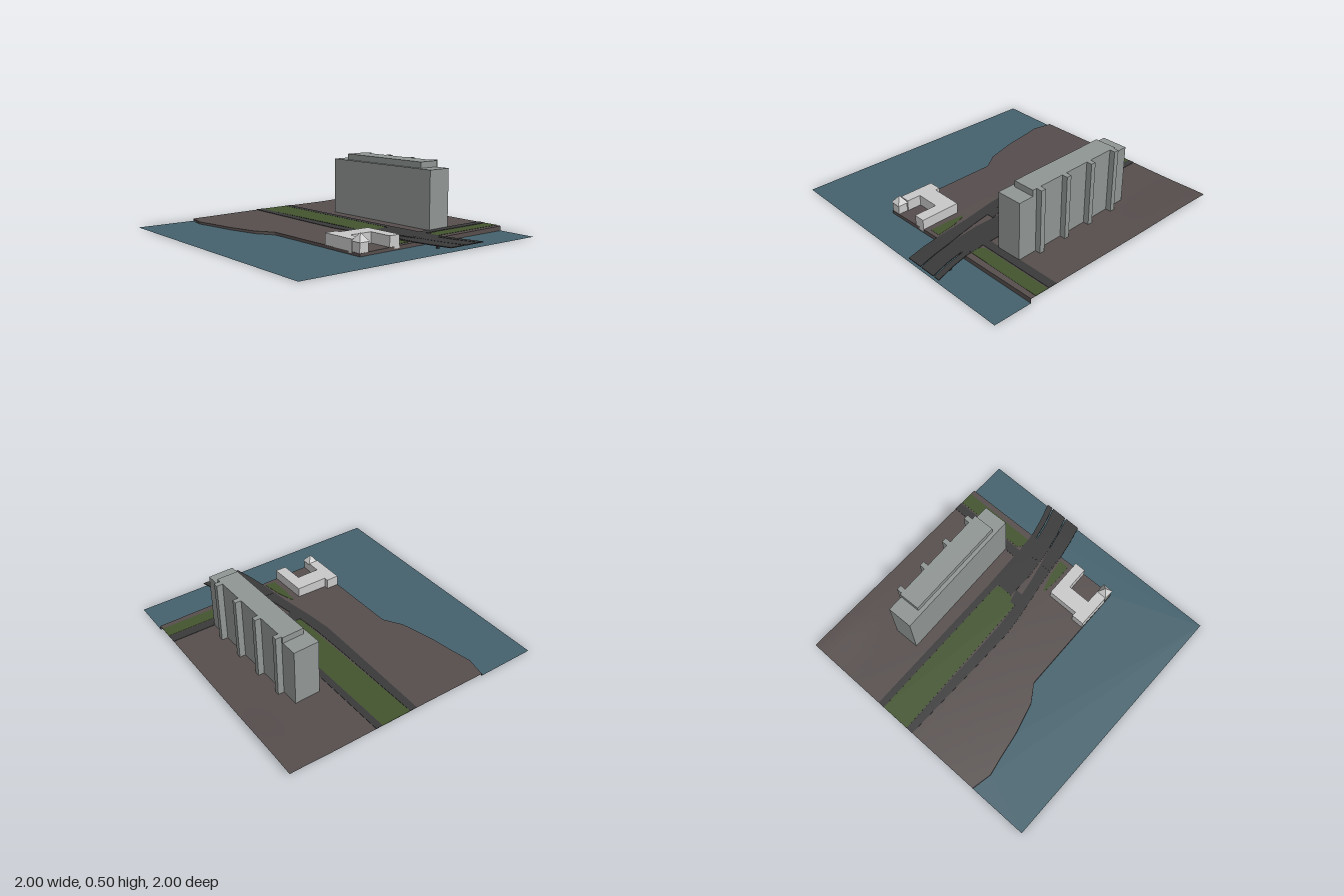
import * as THREE from 'three';

const mat = (color) => new THREE.MeshStandardMaterial({ color, side: THREE.DoubleSide });
const MATS = {
  water: mat(0x45636f), land: mat(0x574f4e), road: mat(0x3b3b3b),
  grass: mat(0x445630), block: mat(0x929896), stone: mat(0xcccccc),
};

// waterfront as [x, z], from the left edge to the front right corner
const SHORE = [[-1, 0.55], [-0.85, 0.58], [-0.7, 0.55], [-0.52, 0.52], [-0.28, 0.455], [-0.15, 0.37], [0.745, 0.35]];

function shoreZ(x) {
  for (let i = 1; i < SHORE.length; i++) {
    const [x0, z0] = SHORE[i - 1], [x1, z1] = SHORE[i];
    if (x <= x1 + 1e-6) return z0 + (z1 - z0) * (x - x0) / (x1 - x0);
  }
  return 0.35;
}
const rightEdge = (z) => 0.72 + (z + 0.4) * (z < -0.4 ? 0.017 : 0.033);

// ground height: falls towards the front, with a low rise at the back left
function ground(x, z) {
  const rise = Math.exp(-((x + 0.8) ** 2) / 0.12 - ((z + 0.95) ** 2) / 0.03);
  return 0.027 - 0.018 * Math.max(z, 0) - 0.007 * Math.min(z, 0) + 0.009 * rise;
}

function meshFrom(positions, indices, material, name) {
  let g = new THREE.BufferGeometry();
  g.setAttribute('position', new THREE.Float32BufferAttribute(positions, 3));
  g.setIndex(indices);
  g = g.toNonIndexed();
  g.computeVertexNormals();
  const m = new THREE.Mesh(g, material);
  m.name = name;
  return m;
}

const outline = (pts) => new THREE.Shape(pts.map(([x, z]) => new THREE.Vector2(x, -z)));

// upright prism over a footprint of [x, z] points
function prism(name, pts, y0, y1, material) {
  const g = new THREE.ExtrudeGeometry(outline(pts), { depth: y1 - y0, bevelEnabled: false });
  g.rotateX(-Math.PI / 2).translate(0, y0, 0);
  const m = new THREE.Mesh(g, material);
  m.name = name;
  return m;
}

// terrain grid, with an extra row and column as the bank down to the water
function buildLand() {
  const nu = 70, nv = 40, pos = [], idx = [];
  for (let i = 0; i <= nu + 1; i++) {
    for (let j = 0; j <= nv + 1; j++) {
      const u = Math.min(i, nu) / nu, v = Math.min(j, nv) / nv;
      const z = -1 + v * (shoreZ(-1 + u * 1.745) + 1);
      const x = -1 + u * (rightEdge(z) + 1);
      pos.push(x, i > nu || j > nv ? 0 : ground(x, z), z);
    }
  }
  const w = nv + 2;
  for (let i = 0; i <= nu; i++) {
    for (let j = 0; j <= nv; j++) {
      const a = i * w + j;
      idx.push(a, a + 1, a + w + 1, a, a + w + 1, a + w);
    }
  }
  return meshFrom(pos, idx, MATS.land, 'land');
}

// slab along x through stations [x, zBack, zFront]; rests on the ground or on a level deck
function slab(name, stations, material, lift, thick, deck) {
  const pos = [], idx = [], n = stations.length;
  for (const [x, z0, z1] of stations) {
    const y0 = (deck ?? ground(x, z0)) + lift, y1 = (deck ?? ground(x, z1)) + lift;
    pos.push(x, y0, z0, x, y1, z1, x, y1 - thick, z1, x, y0 - thick, z0);
  }
  for (let i = 0; i < n - 1; i++) {
    for (let j = 0; j < 4; j++) {
      const a = i * 4 + j, b = i * 4 + (j + 1) % 4;
      idx.push(a, b, b + 4, a, b + 4, a + 4);
    }
  }
  const e = (n - 1) * 4;
  idx.push(0, 2, 1, 0, 3, 2, e, e + 1, e + 2, e, e + 2, e + 3);
  return meshFrom(pos, idx, material, name);
}

export function createModel() {
  const model = new THREE.Group();
  model.name = 'waterfrontDistrict';

  // water around the land
  const water = new THREE.Mesh(
    new THREE.ShapeGeometry(outline([...SHORE, [0.72, -0.4], [0.71, -1], [1, -1], [1, 1], [-1, 1]])), MATS.water);
  water.geometry.rotateX(-Math.PI / 2);
  water.name = 'water';
  model.add(water, buildLand());

  // streets and lawns laid on the ground
  const streets = [
    ['backStreet', [[-1, -0.355, -0.305], [0.2, -0.38, -0.33], [0.5, -0.395, -0.33], [0.71, -0.395, -0.33]]],
    ['frontStreet', [[-1, -0.08, -0.025], [-0.3, -0.095, -0.02], [0, -0.105, -0.02], [0.2, -0.125, -0.045], [0.45, -0.17, -0.09], [0.72, -0.235, -0.125]]],
    ['junction', [[0.24, -0.34, -0.2], [0.45, -0.34, -0.2], [0.72, -0.34, -0.235]]],
    ['junctionLink', [[0.2, -0.17, -0.12], [0.3, -0.2, -0.14]]],
    ['sideStreet', [[0.495, -1, -0.39], [0.56, -1, -0.39]]],
  ];
  for (const [name, stations] of streets) model.add(slab(name, stations, MATS.road, 0.003, 0.003));
  const lawns = [
    ['medianLawn', [[-1, -0.305, -0.08], [0.19, -0.33, -0.125], [0.24, -0.32, -0.2]]],
    ['sideLawn', [[0.57, -1, -0.43], [0.61, -1, -0.4], [0.67, -1, -0.4]]],
    ['frontLawn', [[0.43, -0.045, -0.035], [0.55, -0.085, -0.025], [0.7, -0.11, -0.03]]],
  ];
  for (const [name, stations] of lawns) model.add(slab(name, stations, MATS.grass, 0.002, 0.003));

  // three bridge decks over the water, with piers
  const bridge = new THREE.Group();
  bridge.name = 'bridge';
  const decks = [
    [[0.58, -0.4, -0.365], [0.72, -0.41, -0.37], [0.86, -0.445, -0.4], [1, -0.49, -0.445]],
    [[0.58, -0.365, -0.25], [0.72, -0.36, -0.24], [0.86, -0.39, -0.27], [1, -0.435, -0.315]],
    [[0.58, -0.2, -0.12], [0.72, -0.235, -0.125], [0.86, -0.265, -0.15], [1, -0.305, -0.185]],
  ];
  decks.forEach((stations, i) => {
    bridge.add(slab('bridgeDeck' + (i + 1), stations, MATS.road, 0, 0.006, 0.0325));
    const [x, z0, z1] = stations[2];
    const pier = new THREE.Mesh(new THREE.BoxGeometry(0.02, 0.027, 0.012), MATS.road);
    pier.position.set(x, 0.0135, (z0 + z1) / 2);
    pier.name = 'bridgePier';
    bridge.add(pier);
  });
  model.add(bridge);

  // tall slab block: body, set-in top storey, stair shafts on the back
  const block = new THREE.Group();
  block.name = 'towerBlock';
  block.add(prism('blockBody', [[-0.52, -0.64], [-0.515, -0.45], [0.505, -0.485], [0.5, -0.672]], 0.01, 0.455, MATS.block));
  block.add(prism('topStorey', [[-0.4, -0.645], [-0.395, -0.485], [0.388, -0.508], [0.385, -0.668]], 0.455, 0.5, MATS.block));
  for (let i = 0; i < 4; i++) {
    const x = -0.387 + i * 0.234, z = -0.688 - i * 0.0075;
    block.add(prism('stairShaft', [[x, z], [x, z + 0.06], [x + 0.037, z + 0.06], [x + 0.037, z]], 0.01, 0.5, MATS.block));
  }
  model.add(block);

  // low courtyard house with a corner tower
  const house = new THREE.Group();
  house.name = 'courtyardHouse';
  house.add(prism('houseWings', [[0.433, 0.02], [0.735, 0.01], [0.735, 0.095], [0.56, 0.1], [0.56, 0.275],
    [0.665, 0.275], [0.665, 0.352], [0.4, 0.356], [0.4, 0.26], [0.433, 0.26]], 0.01, 0.1, MATS.stone));
  const tower = new THREE.Mesh(new THREE.BoxGeometry(0.07, 0.08, 0.07), MATS.stone);
  tower.position.set(0.706, 0.05, 0.313);
  tower.name = 'cornerTower';
  const roof = new THREE.Mesh(
    new THREE.ConeGeometry(0.041 * Math.SQRT2, 0.055, 4).toNonIndexed(), MATS.stone);
  roof.geometry.computeVertexNormals();
  roof.rotation.y = Math.PI / 4;
  roof.position.set(0.706, 0.1165, 0.313);
  roof.name = 'towerRoof';
  house.add(tower, roof);
  model.add(house);

  return model;
}
